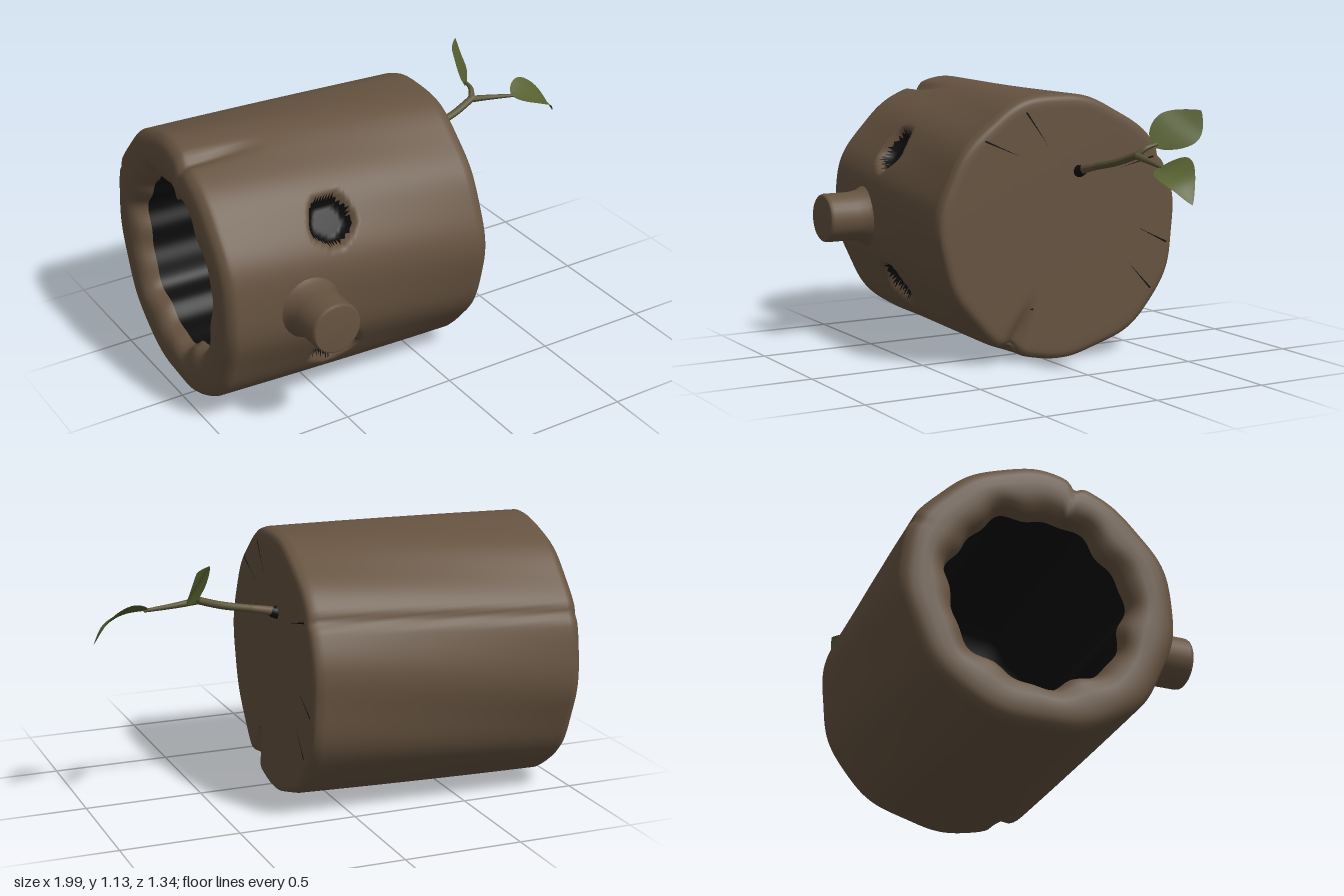
import * as THREE from 'three';

const mat = (name, color, side = THREE.FrontSide) => {
  const m = new THREE.MeshStandardMaterial({ color, side });
  m.name = name;
  return m;
};
const V = (x, y, z) => new THREE.Vector3(x, y, z);
const axisZ = x => -0.069 + 0.043 * x;
const shear = z => -0.045 * (z + 0.08);
const AXIS_Y = 0.57;

// Eye holes, measured in the front plane
const EYES = [
  { x: -0.47, y: 0.865, rx: 0.09, ry: 0.082 },
  { x: -0.462, y: 0.275, rx: 0.095, ry: 0.076 },
];
const eyeDistance = (x, y, z) => z < 0.1 ? 9 : Math.min(...EYES.map(e => {
  const dx = (x - e.x) / e.rx, dy = (y - e.y) / e.ry;
  return Math.hypot(dx, dy) * (1 + 0.05 * Math.sin(5 * Math.atan2(dy, dx)));
}));

// Narrow groove around one angle (degrees)
function groove(a, deg, width) {
  let d = (a * 180 / Math.PI - deg) % 360;
  if (d > 180) d -= 360;
  if (d < -180) d += 360;
  return Math.exp(-((d / width) ** 2));
}

// Path [x, radius] from the hollow's floor, over the rim, along the bark, to the closed end
function logPath() {
  const path = [[0.1, 0], [0.1, 0.2], [0.1, 0.36]];
  for (let i = 1; i <= 8; i++) path.push([0.1 - i * 0.12, 0.36]);
  const hollowRows = path.length - 1;
  path.push([-0.9, 0.36], [-0.94, 0.375], [-0.965, 0.4], [-0.975, 0.44], [-0.975, 0.48],
    [-0.972, 0.515], [-0.962, 0.54], [-0.945, 0.555]);
  const barkStart = path.length - 1;
  for (let i = 1; i <= 90; i++) path.push([-0.945 + i * 0.0123, 0.562]);
  const barkEnd = path.length - 1;
  path.push([0.185, 0.556], [0.196, 0.545], [0.2, 0.53], [0.201, 0.51]);
  for (let i = 1; i <= 12; i++) path.push([0.201, 0.51 * (1 - i / 12)]);
  return { path, hollowRows, barkStart, barkEnd };
}

function logGeometry() {
  const N = 200, { path, hollowRows, barkStart, barkEnd } = logPath();
  const pos = [], eye = [];
  path.forEach(([px, pr], i) => {
    for (let j = 0; j < N; j++) {
      const a = j / N * Math.PI * 2;
      let x = px, r = pr;
      if (i < barkStart) {
        // ragged hollow
        const k = THREE.MathUtils.clamp((0.5 - pr) / 0.12, 0, 1);
        if (pr > 0) r += k * (0.012 * Math.sin(7 * a) + 0.008 * Math.sin(13 * a + 1));
      }
      if (i > hollowRows + 2) {
        // uneven bark and long splits
        const f = Math.min(1, pr / 0.56);
        r += f * (0.006 * Math.sin(5 * a + 1 + px) + 0.004 * Math.sin(11 * a + 3 * px));
        const split = THREE.MathUtils.smoothstep(-px, 0.55, 0.95);
        r -= 0.03 * split * groove(a, 73, 2.5);
        r -= 0.012 * f ** 6 * groove(a, 152 - 5 * (px + 0.4), 2);
        const notch = THREE.MathUtils.smoothstep(px, 0.02, 0.2) * groove(a, -65, 4);
        r -= 0.04 * notch * f ** 6;
        if (i > barkEnd) x -= 0.035 * notch * THREE.MathUtils.smoothstep(pr, 0.3, 0.52);
      }
      const onBark = i >= barkStart && i <= barkEnd;
      let y = AXIS_Y + r * Math.sin(a), z = axisZ(px) + r * Math.cos(a);
      const d = onBark ? eyeDistance(px, y, z) : 9;
      // sink the eye sockets
      const sink = 0.06 * (1 - THREE.MathUtils.smoothstep(d, 0.75, 1.2));
      y -= sink * Math.sin(a);
      z -= sink * Math.cos(a);
      pos.push(x + shear(z), y, z);
      eye.push(d < 1);
    }
  });
  const bark = [], dark = [];
  for (let i = 0; i < path.length - 1; i++) for (let j = 0; j < N; j++) {
    const a = i * N + j, b = a + N, c = (i + 1) * N + (j + 1) % N, d = i * N + (j + 1) % N;
    for (const t of [[a, b, c], [a, c, d]]) {
      const black = i < hollowRows + 1 || t.filter(k => eye[k]).length > 1;
      (black ? dark : bark).push(...t);
    }
  }
  const g = new THREE.BufferGeometry();
  g.setAttribute('position', new THREE.Float32BufferAttribute(pos, 3));
  g.setIndex([...bark, ...dark]);
  g.addGroup(0, bark.length, 0);
  g.addGroup(bark.length, dark.length, 1);
  g.computeVertexNormals();
  return g;
}

// Tube that tapers from r0 to r1
function taperedTube(points, r0, r1) {
  const curve = new THREE.CatmullRomCurve3(points), S = 20, R = 10;
  const g = new THREE.TubeGeometry(curve, S, 1, R);
  const p = g.attributes.position, v = V(0, 0, 0);
  for (let i = 0; i < p.count; i++) {
    const t = Math.floor(i / (R + 1)) / S, c = curve.getPointAt(t);
    v.fromBufferAttribute(p, i).sub(c).multiplyScalar(r0 + (r1 - r0) * t).add(c);
    p.setXYZ(i, v.x, v.y, v.z);
  }
  g.computeVertexNormals();
  return g;
}

// Pointed leaf along a midrib, with a folded cross-section
function leafGeometry(points, half, fold) {
  const curve = new THREE.CatmullRomCurve3(points), S = 18, W = 6;
  const g = new THREE.PlaneGeometry(1, 1, W, S), p = g.attributes.position;
  for (let i = 0; i <= S; i++) for (let j = 0; j <= W; j++) {
    const t = i / S, u = j / W * 2 - 1;
    const w = Math.sin(Math.PI * t ** 0.8) ** 0.8 * (1 - 0.25 * t * t) * 1.03;
    const q = curve.getPoint(t).addScaledVector(half, (w || 0) * u).addScaledVector(fold, (w || 0) * u * u);
    p.setXYZ(i * (W + 1) + j, q.x, q.y, q.z);
  }
  g.computeVertexNormals();
  return g;
}

export function createModel() {
  const model = new THREE.Group();
  const bark = mat('bark brown', 0x665340);
  const dark = mat('hollow black', 0x0c0c0c, THREE.DoubleSide);
  const stem = mat('twig olive', 0x5a5436);
  const green = mat('leaf green', 0x566030, THREE.DoubleSide);
  const add = (name, geometry, material) => {
    const m = new THREE.Mesh(geometry, material);
    m.name = name;
    model.add(m);
    return m;
  };

  add('hollowLog', logGeometry(), [bark, dark]);

  // Sawn-off branch on the front, flared at its base
  const stub = [[0.19, 0.36], [0.165, 0.425], [0.135, 0.452], [0.115, 0.485], [0.107, 0.53], [0.107, 0.645],
    [0.104, 0.657], [0.097, 0.663], [0, 0.665]].map(([r, h]) => new THREE.Vector2(r, h));
  const nose = add('branchStub', new THREE.LatheGeometry(stub, 28), bark);
  nose.rotation.x = Math.PI / 2;
  nose.position.set(-0.635, 0.56, 0);

  // Drying cracks on the closed end: [z, y] inner to [z, y] outer
  [[0.14, 0.88, 0.3, 0.95], [0.01, 0.92, 0.11, 1.06], [-0.34, 0.81, -0.5, 0.85], [-0.42, 0.55, -0.57, 0.475],
    [-0.38, 0.4, -0.49, 0.28], [0.1, 0.24, 0.08, 0.235]].forEach(([z0, y0, z1, y1]) => {
    const l = Math.hypot(z1 - z0, y1 - y0), nz = -(y1 - y0) / l * 0.004, ny = (z1 - z0) / l * 0.004;
    const pts = [[z0, y0], [z1 + nz, y1 + ny], [z1 - nz, y1 - ny]].map(([z, y]) => V(0.204 + shear(z), y, z));
    const g = new THREE.BufferGeometry().setFromPoints(pts);
    g.computeVertexNormals();
    add('endCrack', g, dark);
  });

  // Twig with a dark knot where it leaves the log
  add('twigKnot', taperedTube([V(0.18, 0.805, -0.14), V(0.21, 0.807, -0.14), V(0.235, 0.815, -0.143)], 0.032, 0.02), dark);
  add('twigBase', taperedTube([V(0.2, 0.808, -0.14), V(0.26, 0.823, -0.145), V(0.32, 0.836, -0.15)], 0.02, 0.016), bark);
  add('twig', taperedTube([V(0.31, 0.834, -0.149), V(0.45, 0.865, -0.165), V(0.57, 0.905, -0.19)], 0.016, 0.016), stem);
  add('longStalk', taperedTube([V(0.56, 0.9, -0.188), V(0.65, 0.888, -0.183), V(0.78, 0.873, -0.165)], 0.015, 0.007), stem);
  add('shortStalk', taperedTube([V(0.56, 0.9, -0.188), V(0.58, 0.93, -0.22), V(0.585, 0.945, -0.27)], 0.015, 0.007), stem);

  add('longLeaf', leafGeometry([V(0.76, 0.875, -0.167), V(0.85, 0.868, -0.16), V(0.93, 0.828, -0.155), V(0.99, 0.75, -0.162)],
    V(0, -0.035, 0.08), V(0, 0.015, 0)), green);
  add('shortLeaf', leafGeometry([V(0.575, 0.93, -0.26), V(0.615, 0.985, -0.34), V(0.63, 1.03, -0.4), V(0.645, 1.078, -0.445)],
    V(0.065, -0.055, -0.045), V(-0.01, 0.012, 0)), green);

  return model;
}
